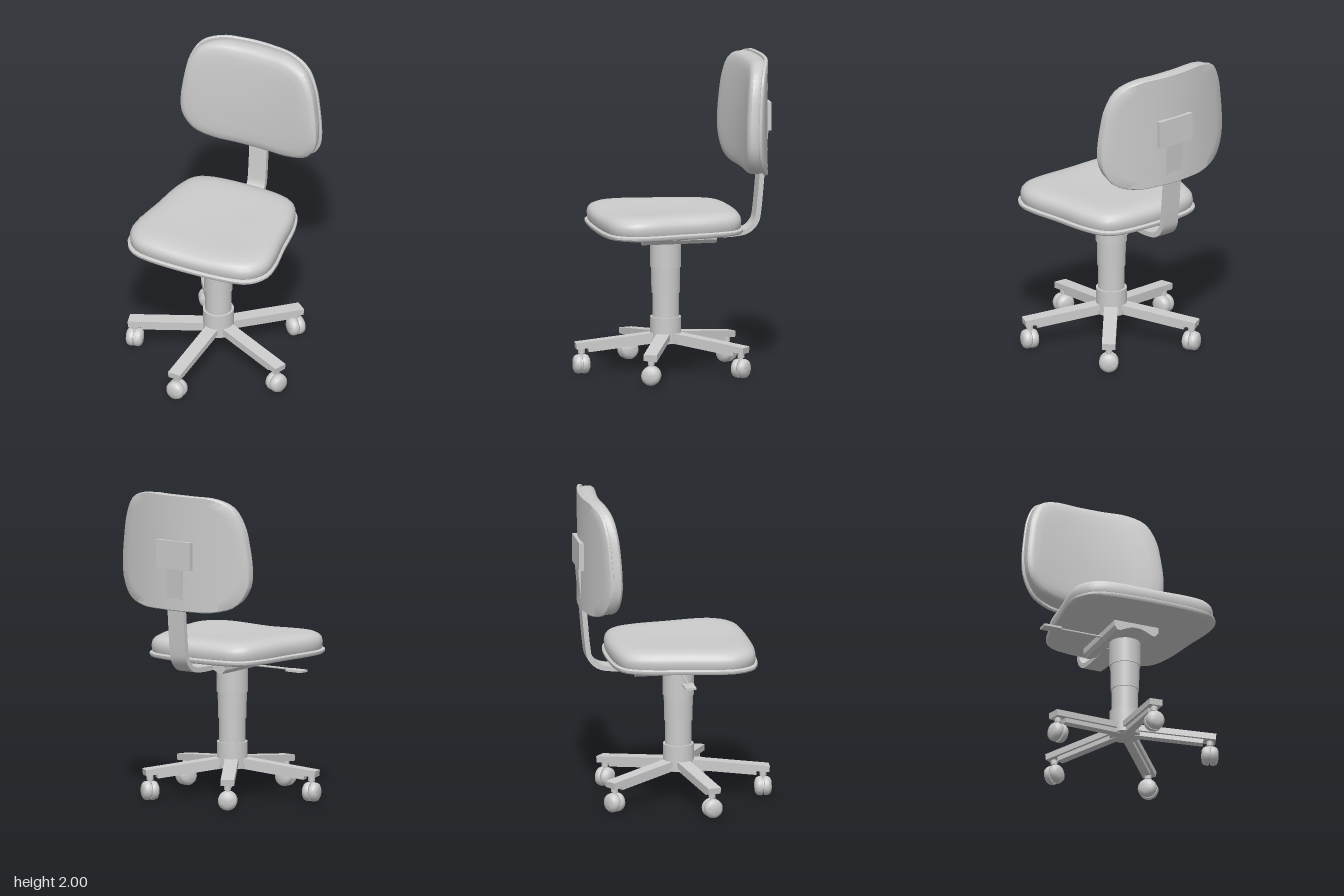
import * as THREE from 'three';
import { toCreasedNormals } from 'three/addons/utils/BufferGeometryUtils.js';

const grey = new THREE.MeshStandardMaterial({ color: 0xcccccc });

function add(parent, name, geometry, x = 0, y = 0, z = 0) {
  const mesh = new THREE.Mesh(geometry, grey);
  mesh.name = name;
  mesh.position.set(x, y, z);
  parent.add(mesh);
  return mesh;
}

// Smooth closed outline, mirrored from its right half (listed from -b to +b, anticlockwise)
function outline(half, count = 72) {
  const all = [...half, ...half.slice().reverse().map(([a, b]) => [-a, b])];
  const curve = new THREE.CatmullRomCurve3(all.map(([a, b]) => new THREE.Vector3(a, b, 0)), true, 'centripetal');
  return curve.getSpacedPoints(count).slice(0, count);
}

// Stack of scaled outline rings; each layer is [scale, height], warp places the point
function pad(points, layers, warp) {
  const pos = [], index = [], n = points.length;
  layers.forEach(([s, h], i) => points.forEach((p, j) => {
    pos.push(...warp(p.x * s, p.y * s, h));
    if (i === layers.length - 1) return;
    const k = (j + 1) % n, a = i * n + j, b = i * n + k;
    index.push(a, b, b + n, a, b + n, a + n);
  }));
  const g = new THREE.BufferGeometry();
  g.setAttribute('position', new THREE.Float32BufferAttribute(pos, 3));
  g.setIndex(index);
  return toCreasedNormals(g, 0.7);
}

function extrude(points, depth) {
  const shape = new THREE.Shape(points);
  const g = new THREE.ExtrudeGeometry(shape, { depth, bevelEnabled: false });
  return g.translate(0, 0, -depth / 2);
}

function buildSeat(parent) {
  // Front edge is at -b, back edge at +b
  const rim = outline([[0.28, -0.455], [0.41, -0.415], [0.482, -0.31], [0.487, -0.2], [0.455, 0],
    [0.415, 0.26], [0.355, 0.395], [0.24, 0.445]]);
  add(parent, 'seatShell', pad(rim,
    [[0, 0.893], [0.6, 0.893], [0.9, 0.902], [0.985, 0.912], [1, 0.922], [1, 0.935], [0.98, 0.942], [0, 0.942]],
    (a, b, h) => [a, h, -b]));
  // Cushion dips in the middle and at the front centre
  add(parent, 'seatCushion', pad(rim,
    [[0.95, 0.93], [0.972, 0.95], [0.975, 0.985], [0.965, 1.008], [0.935, 1.027], [0.88, 1.041],
      [0.78, 1.05], [0.62, 1.05], [0.4, 1.044], [0.2, 1.04], [0, 1.038]],
    (a, b, h) => {
      const front = Math.max(0, -b / 0.45);
      const lift = Math.max(0, (h - 0.985) / 0.06);
      return [a, h - 0.014 * lift * front * Math.exp(-((a / 0.22) ** 2)), -b];
    }));
}

function buildBackrest(parent) {
  const midY = 1.63;
  const rim = outline([[0.1, -0.366], [0.27, -0.36], [0.4, -0.315], [0.47, -0.21], [0.482, -0.1], [0.466, 0.06],
    [0.437, 0.2], [0.37, 0.315], [0.25, 0.363], [0.1, 0.368]]);
  const back = a => -0.632 + 0.118 * (a / 0.48) ** 2;
  add(parent, 'backrestShell', pad(rim,
    [[0, 0], [0.3, 0], [0.6, 0], [0.85, 0], [0.985, 0], [1, 0.006], [1, 0.018], [0.985, 0.024], [0.6, 0.024], [0, 0.024]],
    (a, b, h) => [a, b + midY, back(a) + h]));
  // Height of a layer is a share of the local thickness, fullest at the lumbar line
  add(parent, 'backrestCushion', pad(rim,
    [[0.94, 0.12], [0.965, 0.25], [0.975, 0.5], [0.97, 0.72], [0.94, 0.88], [0.89, 0.96],
      [0.78, 1], [0.6, 1], [0.4, 1], [0.2, 1], [0, 1]],
    (a, b, h) => {
      const up = Math.max(0, (b + 0.18) / 0.55);
      const thick = (0.168 - 0.065 * (a / 0.48) ** 2) * (1 - 0.25 * up * up);
      return [a, b + midY, back(a) + h * thick];
    }));
  add(parent, 'backrestBracket', new THREE.BoxGeometry(0.26, 0.18, 0.09), 0, 1.62, -0.607);

  // Bent flat bar from under the seat up to the bracket
  const path = new THREE.SplineCurve([[-0.15, 0.868], [-0.3, 0.866], [-0.42, 0.868], [-0.51, 0.885], [-0.568, 0.94],
    [-0.587, 1.03], [-0.607, 1.25], [-0.635, 1.56]].map(p => new THREE.Vector2(...p)));
  const left = [], right = [];
  for (let i = 0; i <= 32; i++) {
    const p = path.getPoint(i / 32), t = path.getTangent(i / 32);
    left.push(new THREE.Vector2(p.x - t.y * 0.016, p.y + t.x * 0.016));
    right.unshift(new THREE.Vector2(p.x + t.y * 0.016, p.y - t.x * 0.016));
  }
  const bar = extrude([...left, ...right], 0.12).rotateY(-Math.PI / 2);
  add(parent, 'backrestBar', toCreasedNormals(bar, 0.7));
}

function buildMechanism(parent) {
  // Mounting plate, hollowed underneath by a shallow arch
  const half = [[0.03, 0.862], [0.06, 0.853], [0.088, 0.84], [0.108, 0.83], [0.13, 0.83], [0.15, 0.855], [0.15, 0.9]];
  const section = [[0, 0.865], ...half, ...half.slice().reverse().map(([a, b]) => [-a, b])];
  const plate = extrude(section.map(p => new THREE.Vector2(...p)), 0.475);
  add(parent, 'mountingPlate', toCreasedNormals(plate, 0.4), 0, 0, -0.06);
  add(parent, 'leverRod', new THREE.CylinderGeometry(0.007, 0.007, 0.35, 8).rotateZ(Math.PI / 2), -0.3, 0.855, -0.015);
  add(parent, 'leverPaddle', new THREE.BoxGeometry(0.12, 0.014, 0.07), -0.5, 0.85, -0.015);
}

function buildColumn(parent) {
  // [name, top radius, bottom radius, bottom, top]
  [['baseHub', 0.097, 0.097, 0.19, 0.355], ['gasLift', 0.083, 0.083, 0.35, 0.51],
    ['lowerSleeve', 0.092, 0.089, 0.505, 0.675], ['upperSleeve', 0.098, 0.098, 0.67, 0.83],
    ['spindle', 0.03, 0.03, 0.82, 0.87]].forEach(([name, rt, rb, y0, y1]) =>
    add(parent, name, new THREE.CylinderGeometry(rt, rb, y1 - y0, 32), 0, (y0 + y1) / 2, 0));
}

function buildLeg(angle) {
  const leg = new THREE.Group();
  leg.name = 'leg';
  leg.rotation.y = -angle;
  const slope = -0.112;
  add(leg, 'legBar', new THREE.BoxGeometry(0.51, 0.04, 0.085), 0.317, 0.208, 0).rotation.z = slope;
  add(leg, 'legRib', new THREE.BoxGeometry(0.46, 0.03, 0.052), 0.262, 0.18, 0).rotation.z = slope;

  // Rounded twin-wheel caster, axle along the leg
  add(leg, 'casterStem', new THREE.CylinderGeometry(0.014, 0.014, 0.11, 12), 0.533, 0.125, 0);
  add(leg, 'casterCollar', new THREE.CylinderGeometry(0.022, 0.022, 0.03, 12), 0.533, 0.145, 0);
  add(leg, 'casterAxle', new THREE.CylinderGeometry(0.045, 0.045, 0.04, 16).rotateZ(Math.PI / 2), 0.533, 0.063, 0);
  const profile = [[0, 0.004], [0.058, 0.004], [0.061, 0.012], [0.06, 0.028], [0.053, 0.043], [0.036, 0.052], [0, 0.055]];
  const wheel = toCreasedNormals(new THREE.LatheGeometry(profile.map(p => new THREE.Vector2(...p)), 24), 0.8);
  for (const side of [-1, 1])
    add(leg, 'casterWheel', wheel, 0.533, 0.063, 0).rotation.z = side * Math.PI / 2;
  return leg;
}

export function createModel() {
  const chair = new THREE.Group();
  chair.name = 'officeChair';
  chair.position.set(-0.025, 0, 0.063);

  // Upper half is swivelled on the column
  const upper = new THREE.Group();
  upper.name = 'swivelSeat';
  upper.rotation.y = -0.38;
  buildSeat(upper);
  buildBackrest(upper);
  buildMechanism(upper);
  chair.add(upper);

  const base = new THREE.Group();
  base.name = 'base';
  buildColumn(base);
  for (let i = 0; i < 5; i++) base.add(buildLeg(THREE.MathUtils.degToRad(44 + i * 72)));
  chair.add(base);

  const model = new THREE.Group();
  model.add(chair);
  return model;
}
